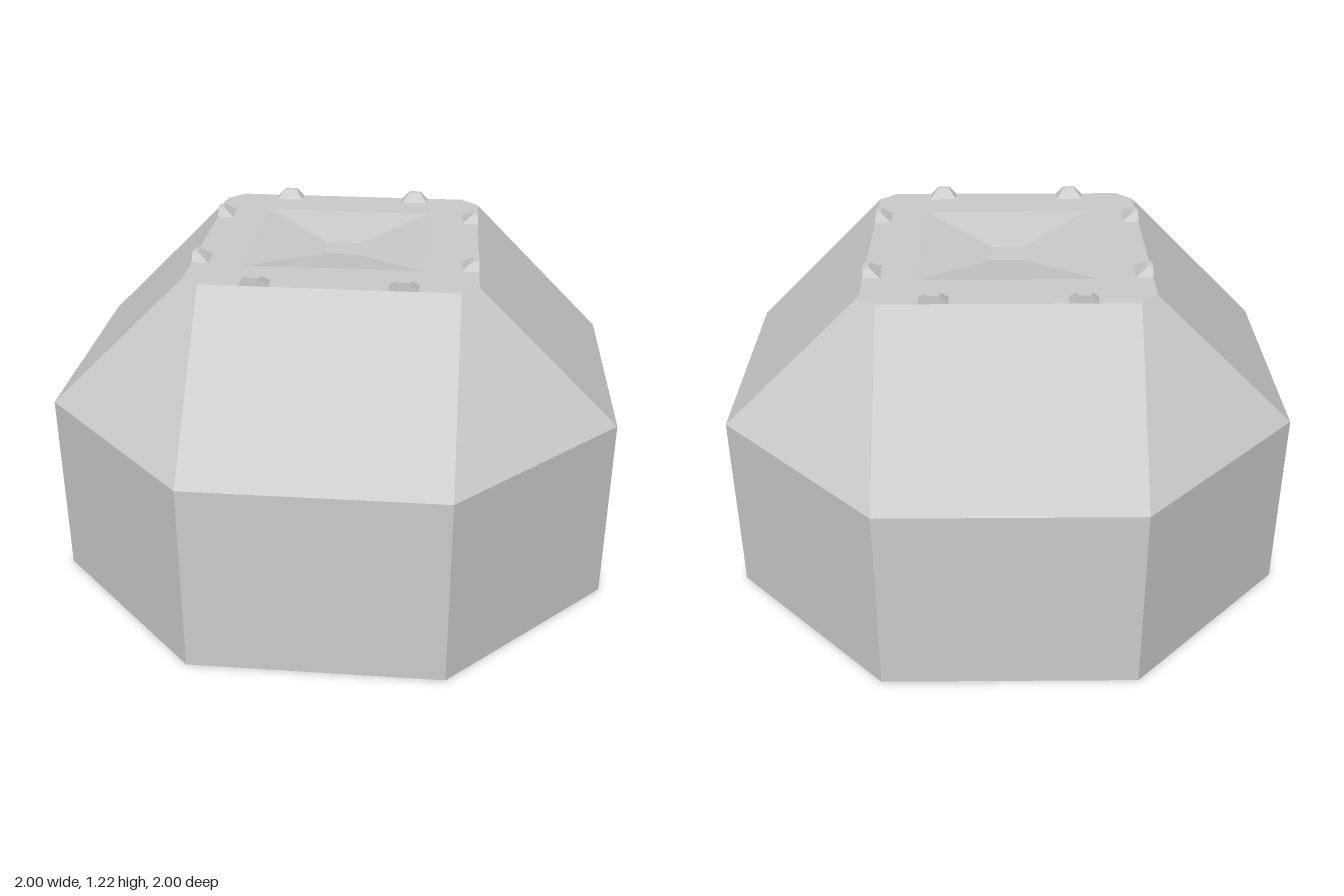
import * as THREE from 'three';

const material = new THREE.MeshStandardMaterial({ color: 0xcccccc, flatShading: true });

// Horizontal ring of points, counter-clockwise seen from above.
const ring = (y, points) => points.map(([x, z]) => new THREE.Vector3(x, y, z));

// Octagon with flat sides at distance r and sides half as wide as w.
const octagon = (r, w) => [[-w, r], [w, r], [r, w], [r, -w], [w, -r], [-w, -r], [-r, -w], [-r, w]];
const rectangle = (x0, x1, z0, z1) => [[x0, z1], [x1, z1], [x1, z0], [x0, z0]];

// Joins successive rings with faces, optionally closing the first and last.
function loft(rings, capBottom, capTop) {
  const points = [];
  for (let k = 0; k < rings.length - 1; k++) {
    const a = rings[k], b = rings[k + 1];
    for (let i = 0; i < a.length; i++) {
      const j = (i + 1) % a.length;
      points.push(a[i], a[j], b[j], a[i], b[j], b[i]);
    }
  }
  const first = rings[0], last = rings[rings.length - 1];
  for (let i = 1; i < first.length - 1; i++) {
    if (capBottom) points.push(first[0], first[i + 1], first[i]);
    if (capTop) points.push(last[0], last[i], last[i + 1]);
  }
  const geometry = new THREE.BufferGeometry().setFromPoints(points);
  geometry.computeVertexNormals();
  return geometry;
}

export function createModel() {
  const model = new THREE.Group();
  const add = (name, geometry, parent = model) => {
    const mesh = new THREE.Mesh(geometry, material);
    mesh.name = name;
    parent.add(mesh);
    return mesh;
  };
  const topY = 1.19, wallY = 0.69, half = 0.44;

  // Upright walls and sloping shoulders
  add('body', loft([
    ring(0, octagon(1, half)),
    ring(wallY, octagon(1, half)),
    ring(topY, octagon(0.5, half)),
  ], true, false));

  // Flat top with a square opening
  const toVectors = (points) => points.map(([x, z]) => new THREE.Vector2(x, -z));
  const plate = new THREE.Shape(toVectors(octagon(0.5, half)));
  plate.holes.push(new THREE.Path(toVectors(rectangle(-0.31, 0.31, -0.31, 0.31))));
  add('topPlate', new THREE.ShapeGeometry(plate).rotateX(-Math.PI / 2).translate(0, topY, 0));

  // Shallow dish in the top
  add('dish', loft([
    ring(topY, rectangle(-0.31, 0.31, -0.31, 0.31)),
    ring(topY - 0.04, rectangle(-0.06, 0.06, -0.06, 0.06)),
  ], false, true));

  // Pairs of small tapered studs along each rim edge
  const studGeometry = loft([
    ring(topY, rectangle(-0.05, 0.05, 0.44, 0.5)),
    ring(topY + 0.03, rectangle(-0.022, 0.022, 0.48, 0.5)),
  ], true, true);
  for (let side = 0; side < 4; side++) {
    const edge = new THREE.Group();
    edge.name = 'rimStuds';
    edge.rotation.y = side * Math.PI / 2;
    for (const x of [-0.25, 0.25]) add('stud', studGeometry, edge).position.x = x;
    model.add(edge);
  }
  return model;
}
